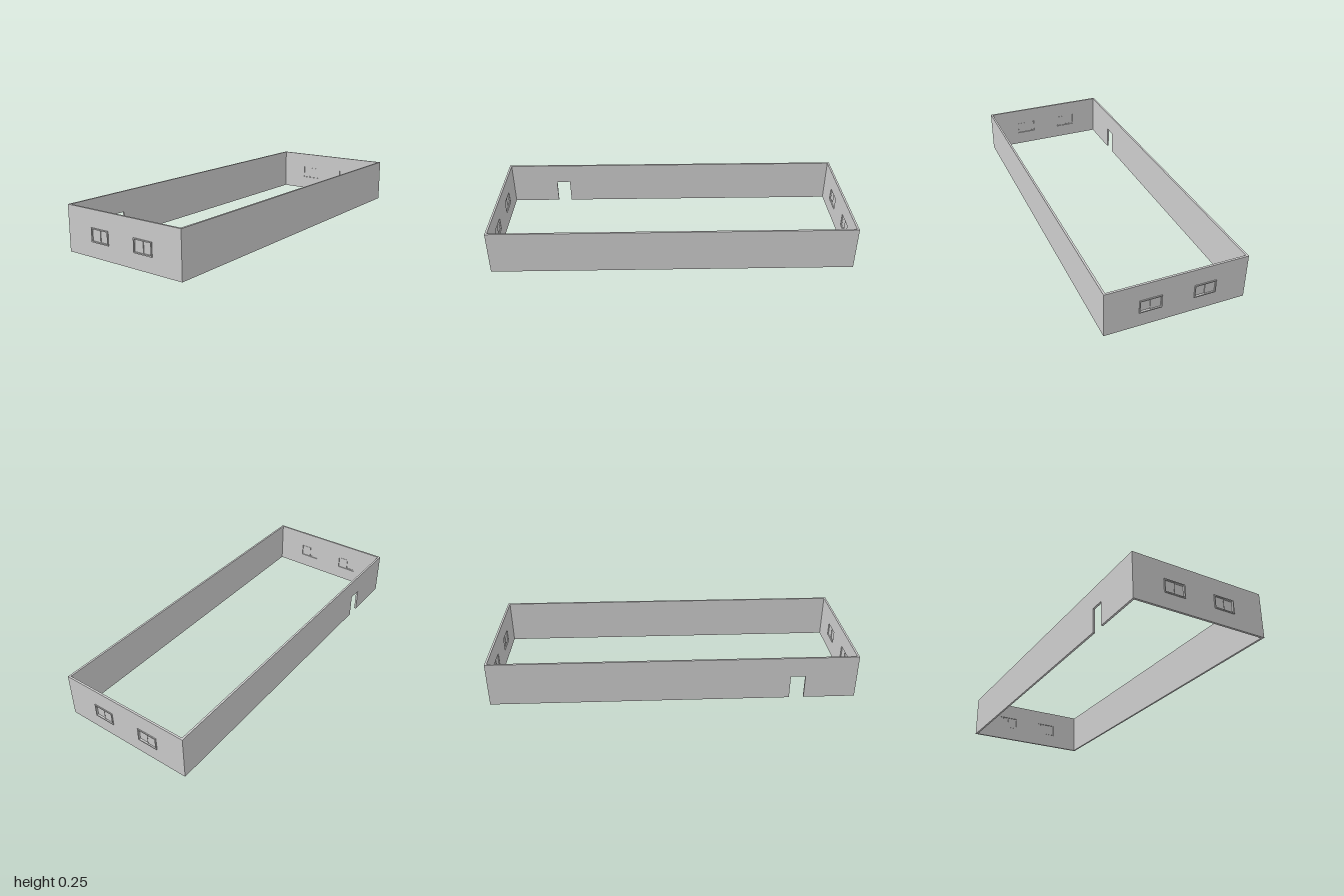
import * as THREE from 'three';

const W = 0.375, L = 0.995, H = 0.246, T = 0.011; // half width, half length, height, wall thickness
const WIN = { w: 0.117, h: 0.073, y: 0.117, rim: 0.006, xs: [-0.1485, 0.1385] };
const DOOR = { z0: 0.633, z1: 0.713, h: 0.132 };

export function createModel() {
  const model = new THREE.Group();
  const material = new THREE.MeshStandardMaterial({ color: 0xcccccc, flatShading: true });

  const add = (parent, name, geometry, x = 0, y = 0, z = 0) => {
    const mesh = new THREE.Mesh(geometry, material);
    mesh.name = name;
    mesh.position.set(x, y, z);
    parent.add(mesh);
    return mesh;
  };
  const box = (parent, name, w, h, d, x, y, z) =>
    add(parent, name, new THREE.BoxGeometry(w, h, d), x, y, z);
  const extrude = (shape, depth) =>
    new THREE.ExtrudeGeometry(shape, { depth, bevelEnabled: false });
  const corners = (x, y, w, h) => [[-1, -1], [1, -1], [1, 1], [-1, 1]]
    .map(([a, b]) => new THREE.Vector2(x + a * w / 2, y + b * h / 2));

  // Window: outer frame standing proud of the wall, two sliding sashes at different depths
  const addWindow = (parent, x, outward) => {
    const win = new THREE.Group();
    win.name = 'window';
    win.position.set(x, WIN.y, outward * L);
    parent.add(win);
    const inW = WIN.w - 2 * WIN.rim, inH = WIN.h - 2 * WIN.rim;
    const rim = new THREE.Shape(corners(0, 0, WIN.w, WIN.h));
    rim.holes.push(new THREE.Path(corners(0, 0, inW, inH)));
    const depth = 0.01;
    add(win, 'windowFrame', extrude(rim, depth), 0, 0, outward > 0 ? 0.005 - depth : -0.005);
    box(win, 'windowPaneOuter', inW / 2, inH, 0.002, -inW / 4, 0, -outward * 0.003);
    box(win, 'windowPaneInner', inW / 2, inH, 0.002, inW / 4, 0, -outward * 0.006);
    box(win, 'windowMullion', 0.003, inH, 0.006, 0, 0, -outward * 0.004);
  };

  // End walls with two window openings each
  for (const side of [1, -1]) {
    const end = new THREE.Group();
    end.name = side > 0 ? 'frontEnd' : 'backEnd';
    model.add(end);
    const shape = new THREE.Shape(corners(0, H / 2, 2 * W, H));
    for (const x of WIN.xs) {
      shape.holes.push(new THREE.Path(corners(x, WIN.y, WIN.w, WIN.h)));
      addWindow(end, x, side);
    }
    add(end, 'endWall', extrude(shape, T), 0, 0, side > 0 ? L - T : -L);
  }

  // Plain long wall
  const run = L - T;
  box(model, 'leftWall', T, H, 2 * run, W - T / 2, H / 2, 0);

  // Long wall with the doorway cut up from the floor, drawn along z
  const doorWall = new THREE.Shape([
    [-run, 0], [-DOOR.z1, 0], [-DOOR.z1, DOOR.h], [-DOOR.z0, DOOR.h],
    [-DOOR.z0, 0], [run, 0], [run, H], [-run, H],
  ].map(([a, b]) => new THREE.Vector2(a, b)));
  add(model, 'rightWallWithDoorway', extrude(doorWall, T), -W, 0, 0).rotation.y = Math.PI / 2;

  return model;
}
